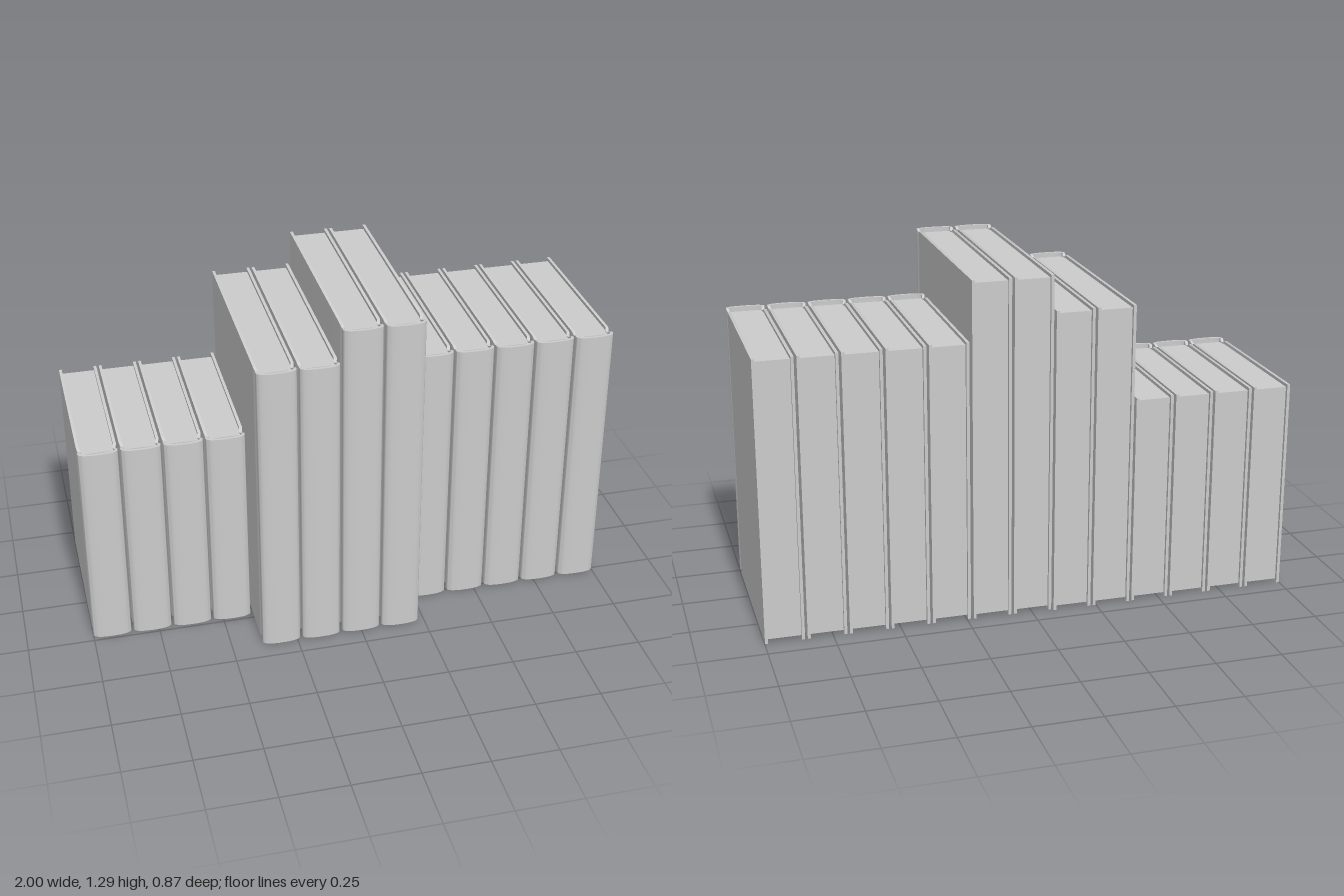
import * as THREE from 'three';
import { toCreasedNormals } from 'three/addons/utils/BufferGeometryUtils.js';

const WIDTH = 0.145, PITCH = 0.1546, BOARD = 0.011, INSET = 0.012;
const material = new THREE.MeshStandardMaterial({ color: 0xcccccc });

// Case wrapped around the pages: a thin U swept from one fore edge, round the spine, to the other.
// The hinge groove dips the top and bottom edges and pinches the sides slightly.
function coverGeometry(bottom, top, back, front) {
  const hw = WIDTH / 2;
  const half = [[hw, back, 0], [hw, front - 0.072, 0]]; // x, z, dip
  for (let i = 1; i <= 7; i++) {
    const d = Math.sin(Math.PI * i / 8) ** 2;
    half.push([hw - 0.004 * d, front - 0.072 + 0.042 * i / 8, 0.01 * d]);
  }
  half.push([hw, front - 0.03, 0], [hw, front - 0.024, 0]);
  // rounded corner running into a shallow arc
  for (let i = 1; i <= 9; i++) {
    const a = (Math.PI / 2) * i / 10;
    half.push([hw * Math.cos(a) ** 0.8, front - 0.024 + 0.024 * Math.sin(a) ** 0.8, 0]);
  }
  const path = [
    ...half.map(([x, z, d]) => [-x, z, d]),
    [0, front, 0],
    ...half.slice().reverse(),
  ];

  const pos = [], index = [], n = path.length;
  path.forEach(([x, z, dip], i) => {
    const p = path[Math.max(i - 1, 0)], q = path[Math.min(i + 1, n - 1)];
    const dx = q[0] - p[0], dz = q[1] - p[1], len = Math.hypot(dx, dz);
    const ix = x + BOARD * dz / len, iz = z - BOARD * dx / len;
    const lo = bottom + dip, hi = top - dip;
    pos.push(x, lo, z, x, hi, z, ix, hi, iz, ix, lo, iz);
    if (i === n - 1) return;
    for (let k = 0; k < 4; k++) {
      const a = i * 4 + k, a2 = i * 4 + (k + 1) % 4;
      index.push(a, a + 4, a2 + 4, a, a2 + 4, a2);
    }
  });
  const e = (n - 1) * 4;
  index.push(0, 1, 2, 0, 2, 3, e, e + 2, e + 1, e, e + 3, e + 2);

  const geometry = new THREE.BufferGeometry();
  geometry.setAttribute('position', new THREE.Float32BufferAttribute(pos, 3));
  geometry.setIndex(index);
  return toCreasedNormals(geometry, 0.6);
}

function createBook({ bottom, top, back, front }) {
  const book = new THREE.Group();
  book.name = 'book';

  const cover = new THREE.Mesh(coverGeometry(bottom, top, back, front), material);
  cover.name = 'cover';

  // Page block, set in from the boards and stopping short of the hollow spine
  const pageBack = back + INSET, pageFront = front - 0.037;
  const pages = new THREE.Mesh(
    new THREE.BoxGeometry(WIDTH - 2 * BOARD, top - bottom - 2 * INSET, pageFront - pageBack),
    material);
  pages.position.set(0, (bottom + top) / 2, (pageBack + pageFront) / 2);
  pages.name = 'pages';

  book.add(cover, pages);
  return book;
}

export function createModel() {
  const shelf = new THREE.Group();
  shelf.name = 'bookRow';

  // Sets of equal books, in order from -x to +x
  const sets = [
    { count: 4, bottom: 0, top: 0.807, back: -0.433, front: 0.237 },
    { count: 2, bottom: 0, top: 1.16, back: -0.434, front: 0.431 },
    { count: 2, bottom: 0.005, top: 1.292, back: -0.434, front: 0.434 },
    { count: 5, bottom: 0.005, top: 1.07, back: -0.43, front: 0.277 },
  ];
  let slot = 0;
  for (const set of sets) {
    for (let i = 0; i < set.count; i++) {
      const book = createBook(set);
      book.position.x = -1 + WIDTH / 2 + PITCH * slot++;
      shelf.add(book);
    }
  }
  return shelf;
}
